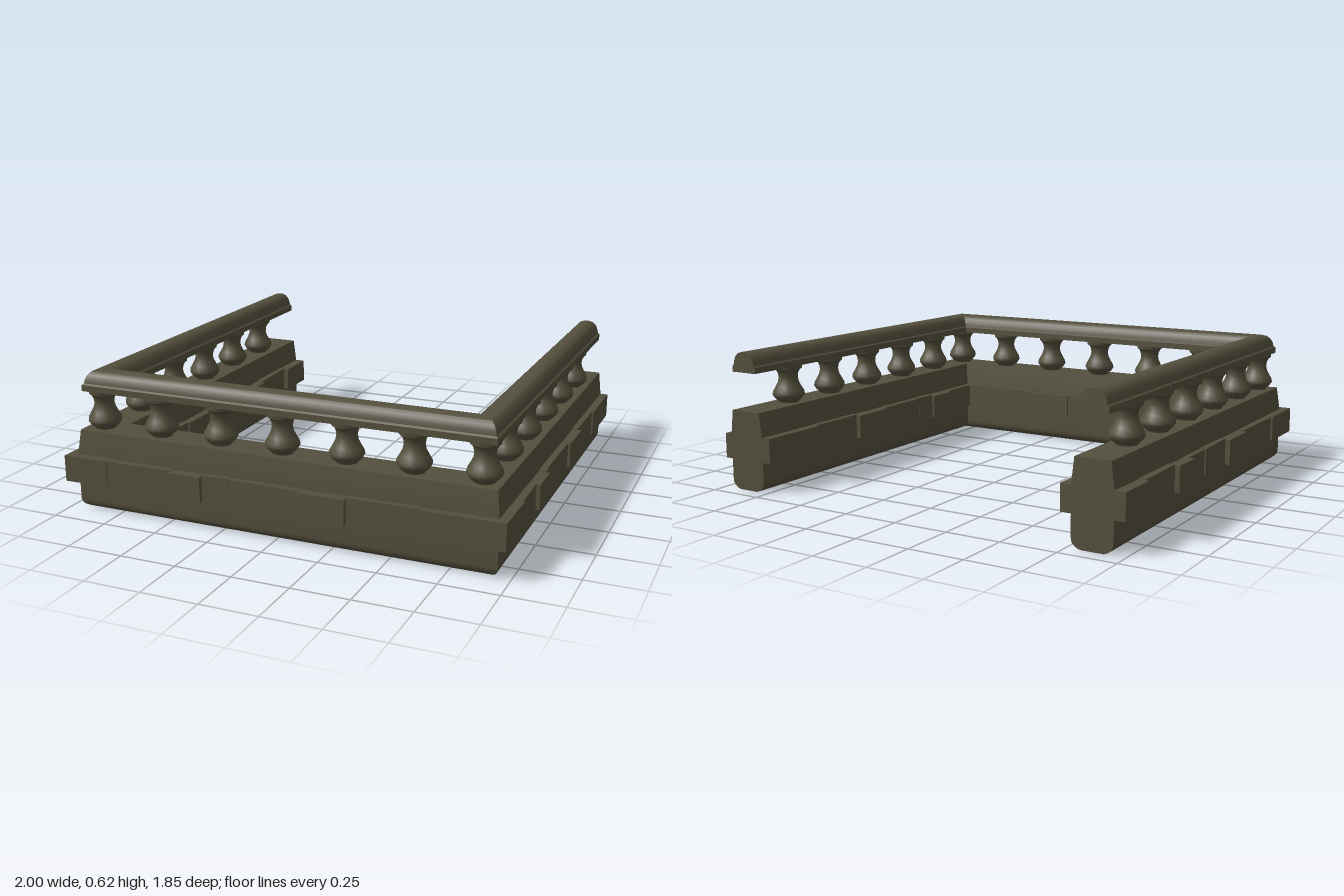
import * as THREE from 'three';
import { toCreasedNormals } from 'three/addons/utils/BufferGeometryUtils.js';

const SIDE_X = 0.86;   // centre line of the two side walls
const FRONT_Z = 0.785; // centre line of the front wall
const BACK_Z = -0.93;  // open ends of the side walls

// Mirrors half a profile [offset, y], listed bottom to top, into a closed loop
const mirrored = half => [...half, ...half.slice().reverse().map(([o, y]) => [-o, y])];

// Sweeps a closed profile along the U-shaped wall line with mitred corners
function sweepU(profile) {
  const stations = [
    o => [-SIDE_X - o, BACK_Z], o => [-SIDE_X - o, FRONT_Z + o],
    o => [SIDE_X + o, FRONT_Z + o], o => [SIDE_X + o, BACK_Z],
  ];
  const pos = [];
  const add = (s, [o, y]) => {
    const [x, z] = stations[s](o);
    pos.push(x, y, z);
  };
  for (let s = 0; s < 3; s++) {
    profile.forEach((p, i) => {
      const q = profile[(i + 1) % profile.length];
      add(s, p); add(s + 1, p); add(s + 1, q);
      add(s, p); add(s + 1, q); add(s, q);
    });
  }
  // end caps
  const outline = profile.map(([o, y]) => new THREE.Vector2(o, y));
  for (const [a, b, c] of THREE.ShapeUtils.triangulateShape(outline, [])) {
    [a, b, c].forEach(i => add(0, profile[i]));
    [c, b, a].forEach(i => add(3, profile[i]));
  }
  const geo = new THREE.BufferGeometry();
  geo.setAttribute('position', new THREE.Float32BufferAttribute(pos, 3));
  return toCreasedNormals(geo, 0.65);
}

// Extrudes a plan outline of [x, z] corners upward between two heights
function planBlock(corners, y0, y1) {
  const shape = new THREE.Shape(corners.map(([x, z]) => new THREE.Vector2(x, -z)));
  const geo = new THREE.ExtrudeGeometry(shape, { depth: y1 - y0, bevelEnabled: false });
  return geo.rotateX(-Math.PI / 2).translate(0, y0, 0);
}

// Band stones: start, end, outer reach at start and end, inner reach at start and end
const FRONT_STONES = [
  [-0.99, -0.78, 0.135, 0.132, 0.12, 0.12],
  [-0.78, -0.47, 0.127, 0.118, 0.122, 0.118],
  [-0.47, -0.32, 0.138, 0.138, 0.14, 0.14],
  [-0.32, -0.2, 0.12, 0.116, 0.126, 0.115],
  [-0.2, 0.12, 0.114, 0.122, 0.115, 0.12],
  [0.12, 0.33, 0.136, 0.136, 0.131, 0.131],
  [0.33, 0.64, 0.118, 0.112, 0.122, 0.118],
  [0.64, 0.99, 0.12, 0.127, 0.12, 0.118],
];
const LEFT_STONES = [ // the wall on the +x side
  [0.91, 0.73, 0.13, 0.13, 0.12, 0.12],
  [0.73, 0.45, 0.124, 0.12, 0.125, 0.125],
  [0.45, 0.3, 0.138, 0.138, 0.143, 0.143],
  [0.3, 0.2, 0.122, 0.118, 0.13, 0.122],
  [0.2, -0.1, 0.116, 0.12, 0.12, 0.126],
  [-0.1, -0.31, 0.132, 0.132, 0.14, 0.14],
  [-0.31, -0.6, 0.114, 0.118, 0.118, 0.122],
  [-0.6, BACK_Z, 0.126, 0.126, 0.132, 0.132],
];
const RIGHT_STONES = [ // the wall on the -x side
  [0.91, 0.73, 0.127, 0.125, 0.115, 0.115],
  [0.73, 0.3, 0.122, 0.118, 0.116, 0.12],
  [0.3, 0.1, 0.136, 0.136, 0.128, 0.128],
  [0.1, -0.13, 0.114, 0.118, 0.116, 0.122],
  [-0.13, -0.3, 0.112, 0.116, 0.122, 0.126],
  [-0.3, -0.45, 0.139, 0.139, 0.138, 0.138],
  [-0.45, -0.73, 0.118, 0.122, 0.124, 0.112],
  [-0.73, BACK_Z, 0.137, 0.137, 0.137, 0.137],
];

export function createModel() {
  const model = new THREE.Group();
  model.name = 'balustrade';
  const stone = new THREE.MeshStandardMaterial({ color: 0x544f3d });
  stone.name = 'weathered stone';

  const addMesh = (parent, name, geo) => {
    const mesh = new THREE.Mesh(geo, stone);
    mesh.name = name;
    parent.add(mesh);
    return mesh;
  };

  // Low wall: rounded foot, straight body and slightly tapered upper course
  addMesh(model, 'wall', sweepU(mirrored([
    [0.05, 0], [0.066, 0.006], [0.08, 0.017], [0.088, 0.03], [0.09, 0.045],
    [0.09, 0.25], [0.077, 0.358],
  ])));

  // Hand rail: upright lip, small step and rounded top
  addMesh(model, 'handRail', sweepU(mirrored([
    [0.066, 0.53], [0.066, 0.557], [0.058, 0.563], [0.055, 0.58],
    [0.046, 0.6], [0.032, 0.614], [0.012, 0.621],
  ])));

  // Projecting band of uneven stones
  const band = new THREE.Group();
  band.name = 'stoneBand';
  model.add(band);
  const addRun = (name, stones, place) => stones.forEach(([s, e, oa, ob, ia, ib], i) => {
    const corners = [place(s, oa), place(e, ob), place(e, -ib), place(s, -ia)];
    const top = 0.25 - (i % 3) * 0.002;
    addMesh(band, name + (i + 1), planBlock(corners, 0.134 + (i % 2) * 0.002, top));
  });
  addRun('frontStone', FRONT_STONES, (s, o) => [s, FRONT_Z + o]);
  addRun('leftStone', LEFT_STONES, (s, o) => [SIDE_X + o, s]);
  addRun('rightStone', RIGHT_STONES, (s, o) => [-SIDE_X - o, s]);

  // Balusters: bulbous foot, narrow neck and flared collar
  const profile = [
    [0.044, 0.35], [0.046, 0.362], [0.062, 0.376], [0.073, 0.393], [0.071, 0.408],
    [0.058, 0.43], [0.047, 0.452], [0.043, 0.472], [0.046, 0.492],
    [0.054, 0.508], [0.063, 0.514], [0.065, 0.532],
  ].map(([r, y]) => new THREE.Vector2(r, y));
  const balusterGeo = toCreasedNormals(new THREE.LatheGeometry(profile, 16), 0.75);
  const balusters = new THREE.Group();
  balusters.name = 'balusters';
  model.add(balusters);
  const step = SIDE_X / 3;
  const addBaluster = (x, z) => addMesh(balusters, 'baluster', balusterGeo).position.set(x, 0, z);
  for (let i = -3; i <= 3; i++) addBaluster(i * step, FRONT_Z);
  for (const side of [-1, 1]) {
    for (let i = 1; i <= 5; i++) addBaluster(side * SIDE_X, FRONT_Z - i * step);
  }
  return model;
}
